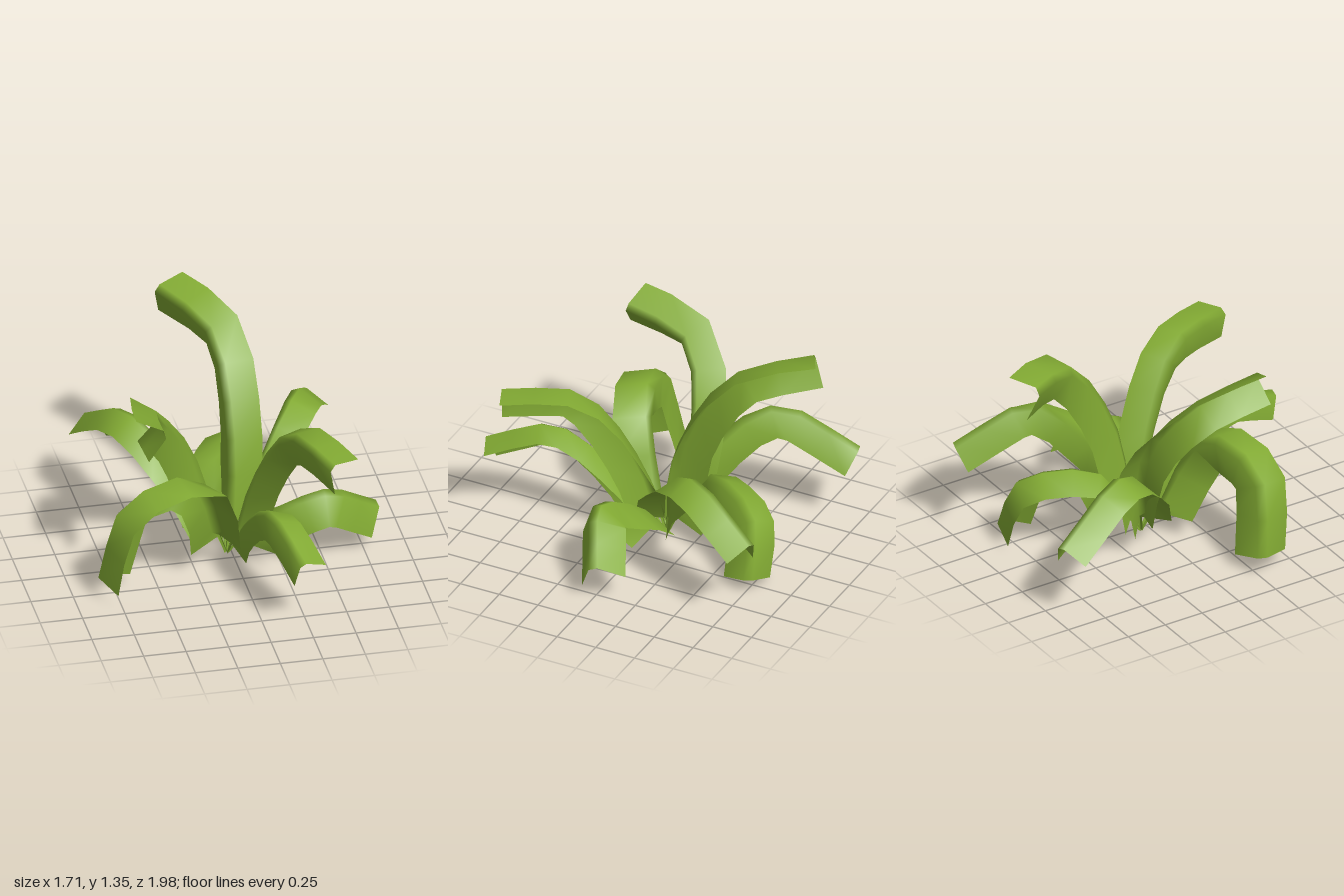
import * as THREE from 'three';

const leafGreen = new THREE.MeshStandardMaterial({ color: 0x82aa33, side: THREE.DoubleSide });
leafGreen.name = 'leafGreen';

const vec = p => new THREE.Vector3(...p);
const ROOT = [-0.03, 0.07, -0.06];
const HALF_OPENING = 0.65; // half the angle of the folded blade
const STEM_END = 0.09;
const BLADE_START = 0.13;
const RINGS = 10;

// A folded strip along the ridge: edge, shoulder, shoulder, edge on every ring
function leafGeometry(ridge, openStart, openEnd, width) {
  const positions = [];
  const index = [];
  for (let i = 0; i < RINGS; i++) {
    // two narrow stem rings, then the blade at full width
    const stem = i < 2;
    const u = stem ? i * STEM_END : BLADE_START + (1 - BLADE_START) * (i - 2) / (RINGS - 3);
    const point = ridge.getPointAt(u);
    const along = ridge.getTangentAt(u);
    const inward = vec(openStart).lerp(vec(openEnd), u);
    inward.addScaledVector(along, -inward.dot(along)).normalize();
    const across = along.clone().cross(inward);
    const edge = stem ? 0.015 : width;
    const shoulder = edge * 0.2;
    for (const reach of [-edge, -shoulder, shoulder, edge]) {
      const corner = point.clone()
        .addScaledVector(inward, Math.abs(reach) * Math.cos(HALF_OPENING))
        .addScaledVector(across, reach * Math.sin(HALF_OPENING));
      positions.push(...corner.toArray());
    }
    if (i === 0) continue;
    for (let k = 0; k < 3; k++) {
      const a = 4 * (i - 1) + k;
      index.push(a, a + 1, a + 4, a + 1, a + 5, a + 4);
    }
  }
  const geometry = new THREE.BufferGeometry();
  geometry.setAttribute('position', new THREE.Float32BufferAttribute(positions, 3));
  geometry.setIndex(index);
  geometry.computeVertexNormals();
  return geometry;
}

// A leaf bends along three ridge points; its fold opens towards openStart, turning to openEnd
function makeLeaf(name, points, width, openStart, openEnd = openStart) {
  const ridge = new THREE.CatmullRomCurve3([ROOT, ...points].map(vec));
  const leaf = new THREE.Mesh(leafGeometry(ridge, openStart, openEnd, width), leafGreen);
  leaf.name = name;
  return leaf;
}

export function createModel() {
  const plant = new THREE.Group();
  plant.name = 'plant';
  plant.add(
    // leaves reaching back
    makeLeaf('tallBackLeaf', [[0, 0.75, -0.16], [-0.05, 1.28, -0.49], [-0.28, 1.39, -0.88]], 0.22, [0.5, 0, -0.8], [0.54, -0.41, -0.41]),
    makeLeaf('backRightLeaf', [[-0.26, 0.58, -0.24], [-0.49, 0.81, -0.54], [-0.64, 0.57, -1]], 0.2, [-0.2, -0.9, 0.2]),
    makeLeaf('backLeftLeaf', [[0.18, 0.57, -0.22], [0.43, 0.83, -0.5], [0.6, 0.61, -0.94]], 0.2, [0.2, -0.9, 0.35]),
    makeLeaf('droopingBackLeaf', [[0, 0.56, -0.33], [0.24, 0.51, -0.73], [0.38, 0.17, -0.79]], 0.22, [0, -0.9, -0.2], [-0.7, -0.4, 0.4]),
    // leaves reaching sideways
    makeLeaf('leftLeaf', [[0.16, 0.35, 0.04], [0.52, 0.53, 0.13], [0.87, 0.33, -0.02]], 0.23, [-0.1, -0.85, -0.4], [-0.6, -0.7, -0.15]),
    makeLeaf('droopingRightLeaf', [[-0.33, 0.77, 0.18], [-0.74, 0.68, 0.28], [-0.88, 0.2, 0.24]], 0.24, [-0.1, -0.85, 0.4], [0.8, -0.3, 0.4]),
    makeLeaf('curlingRightLeaf', [[-0.2, 0.72, -0.11], [-0.43, 1.09, 0.05], [-0.47, 1.19, 0.44]], 0.21, [-0.5, 0, -0.8], [-1, -0.25, 0]),
    // leaves reaching forward
    makeLeaf('highFrontLeaf', [[0.07, 0.62, 0.08], [0.22, 1.06, 0.37], [0.39, 1.06, 0.79]], 0.2, [0.7, -0.65, -0.2]),
    makeLeaf('lowFrontLeaf', [[0, 0.42, 0.2], [0.07, 0.69, 0.6], [0.18, 0.56, 1]], 0.18, [0.45, -0.8, -0.1]),
  );
  return plant;
}
